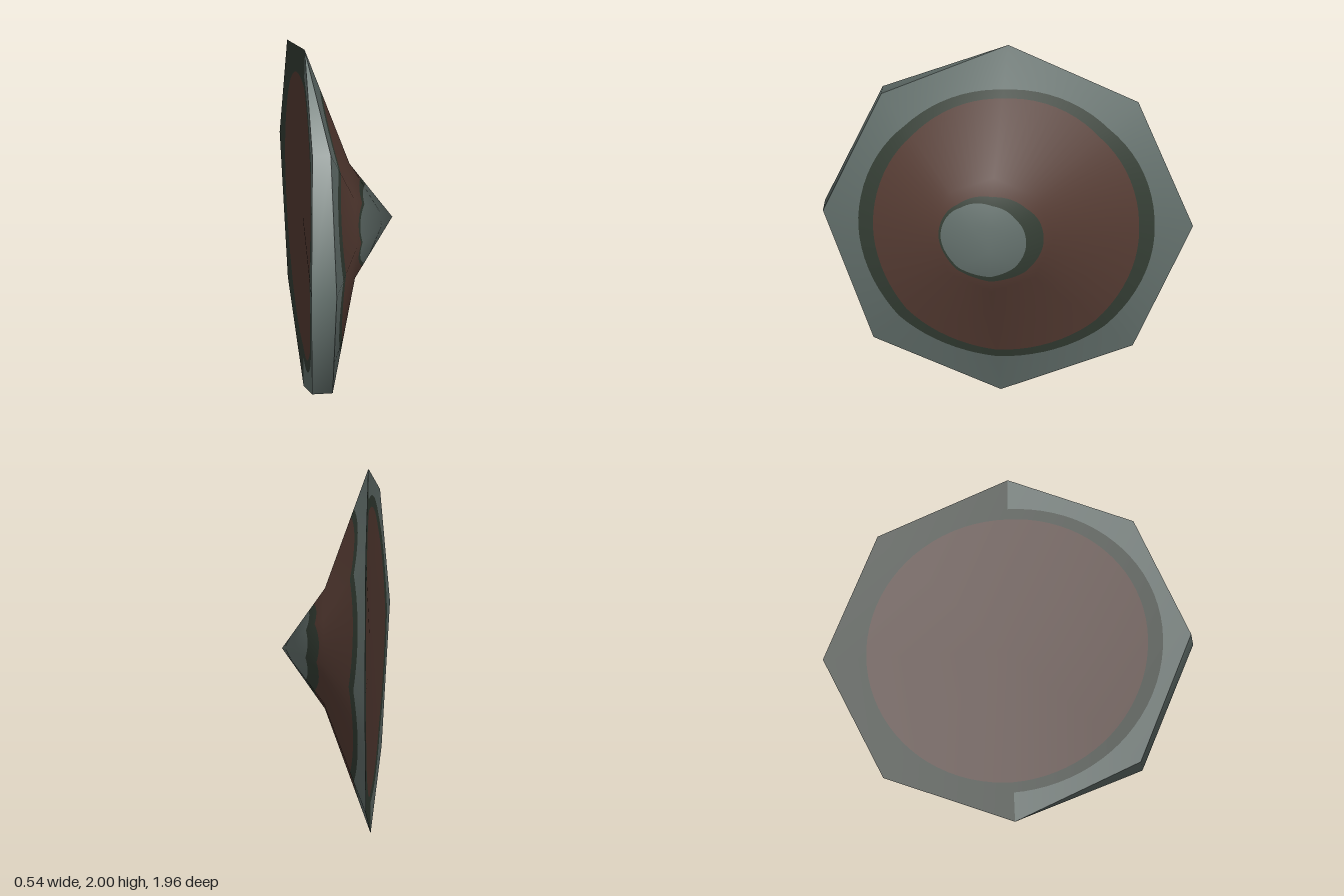
import * as THREE from 'three';

const mat = (name, color) => Object.assign(new THREE.MeshStandardMaterial({ color }), { name });
const V = (x, y, z) => new THREE.Vector3(x, y, z);
const SIDES = 8, STEPS = 10;

// Indexed geometry of a grid of rows; front faces +x when flip is set, otherwise -x
function gridGeometry(points, normals, rows, cols, flip) {
  const index = [];
  for (let r = 0; r < rows - 1; r++) for (let c = 0; c < cols - 1; c++) {
    const a = r * cols + c, b = a + cols;
    const tris = [[a, b, b + 1], [a, b + 1, a + 1]];
    for (const [p, q, s] of tris) index.push(...(flip ? [p, s, q] : [p, q, s]));
  }
  const g = new THREE.BufferGeometry().setFromPoints(points);
  g.setIndex(index);
  if (normals) g.setAttribute('normal', new THREE.Float32BufferAttribute(normals.flatMap(n => n.toArray()), 3));
  else g.computeVertexNormals();
  return g;
}

// Eight-sided smooth surface: a centre point followed by rings of eight points
function facetedSurface(centre, rings, flip) {
  const id = (r, i) => r === 0 ? 0 : 1 + (r - 1) * SIDES + i % SIDES;
  const points = [centre, ...rings.flat()], index = [];
  const tri = (a, b, c) => index.push(...(flip ? [a, c, b] : [a, b, c]));
  for (let r = 0; r < rings.length; r++) for (let i = 0; i < SIDES; i++) {
    tri(id(r, i), id(r + 1, i), id(r + 1, i + 1));
    if (r > 0) tri(id(r, i), id(r + 1, i + 1), id(r, i + 1));
  }
  const g = new THREE.BufferGeometry().setFromPoints(points);
  g.setIndex(index);
  g.computeVertexNormals();
  const normals = points.map((_, k) => V().fromBufferAttribute(g.attributes.normal, k));
  const top = rings.length;

  // Interpolated value at sector i, fraction t across it, ring position u
  const at = (list, i, t, u) => {
    const r = Math.min(Math.floor(u), top - 1);
    const ringAt = k => list[id(k, i)].clone().lerp(list[id(k, i + 1)], t);
    return ringAt(r).lerp(ringAt(r + 1), u - r);
  };

  // Ring position where the surface leaves an ellipse around (z, y = 1)
  const ellipse = (z, rz, ry) => (i, t) => {
    let lo = 0, hi = top;
    for (let k = 0; k < 24; k++) {
      const u = (lo + hi) / 2, p = at(points, i, t, u);
      if (Math.hypot((p.z - z) / rz, (p.y - 1) / ry) < 1) lo = u; else hi = u;
    }
    return lo;
  };

  // Band of the surface between two boundaries
  const band = (inner, outer, from = 0, to = SIDES) => {
    const pos = [], nor = [], cols = (to - from) * STEPS + 1;
    for (let row = 0; row < 3; row++) for (let c = 0; c < cols; c++) {
      const i = Math.min(from + Math.floor(c / STEPS), to - 1), t = c / STEPS - (i - from);
      const a = inner(i, t), b = outer(i, t);
      const mid = a < 1 && b > 1 ? 1 : (a + b) / 2;
      const u = [a, mid, b][row];
      pos.push(at(points, i, t, u));
      nor.push(at(normals, i, t, u).normalize());
    }
    return gridGeometry(pos, nor, 3, cols, flip);
  };
  return { ellipse, band, centre: () => 0, edge: () => top };
}

export function createModel() {
  const shield = new THREE.Group();
  shield.name = 'roundShield';
  const steel = mat('greySteel', 0x66736f);
  const dark = mat('darkGreenTrim', 0x364036);
  const wood = mat('brownWood', 0x593e35);
  const add = (name, geometry, material) => {
    const m = new THREE.Mesh(geometry, material);
    m.name = name;
    shield.add(m);
  };

  // Octagonal rim: z, y, front x, back x (both meet on the thin half)
  const rim = [
    [0.98, 1.03, -0.135, -0.27], [0.67, 1.72, -0.13, -0.228], [0, 2, -0.19, -0.19], [-0.69, 1.69, -0.2, -0.2],
    [-0.98, 0.98, -0.205, -0.205], [-0.66, 0.28, -0.2, -0.2], [0.04, 0, -0.2, -0.2], [0.71, 0.31, -0.125, -0.235],
  ];
  const frontRim = rim.map(([z, y, f]) => V(f, y, z));
  const backRim = rim.map(([z, y, , b]) => V(b, y, z));

  // Shoulder ring at the foot of the boss
  const shoulder = rim.map((_, i) => {
    const a = i * Math.PI / 4 + 0.02;
    return V(0.043, 1 + 0.33 * Math.sin(a), 0.065 + 0.325 * Math.cos(a));
  });

  // Front face, from the boss outwards
  const front = facetedSurface(V(0.27, 1, 0.065), [shoulder, frontRim], true);
  const bossEdge = front.ellipse(0.108, 0.23, 0.21);
  const bossTrim = front.ellipse(0.07, 0.28, 0.245);
  const woodEdge = front.ellipse(0.003, 0.705, 0.73);
  const trimEdge = front.ellipse(0.003, 0.785, 0.775);
  add('boss', front.band(front.centre, bossEdge), steel);
  add('bossTrim', front.band(bossEdge, bossTrim), dark);
  add('frontBoard', front.band(bossTrim, woodEdge), wood);
  add('frontTrim', front.band(woodEdge, trimEdge), dark);
  add('frontRim', front.band(trimEdge, front.edge), steel);

  // Back face
  const back = facetedSurface(V(-0.2, 1, 0), [backRim], false);
  const backWood = back.ellipse(0, 0.75, 0.77);
  const backTrim = back.ellipse(0, 0.83, 0.83);
  add('backBoard', back.band(back.centre, backWood), wood);
  add('backTrim', back.band(backWood, backTrim), dark);
  add('backRimDark', back.band(backTrim, back.edge, 2, 6), dark);
  add('backRimSteel', back.band(backTrim, back.edge, 0, 2), steel);
  add('backRimSteelLower', back.band(backTrim, back.edge, 6, 8), steel);

  // Outer wall of the thick half
  const order = [6, 7, 0, 1, 2];
  const wall = [...order.map(i => backRim[i]), ...order.map(i => frontRim[i])];
  add('rimWall', gridGeometry(wall, null, 2, order.length, false), steel);
  return shield;
}
